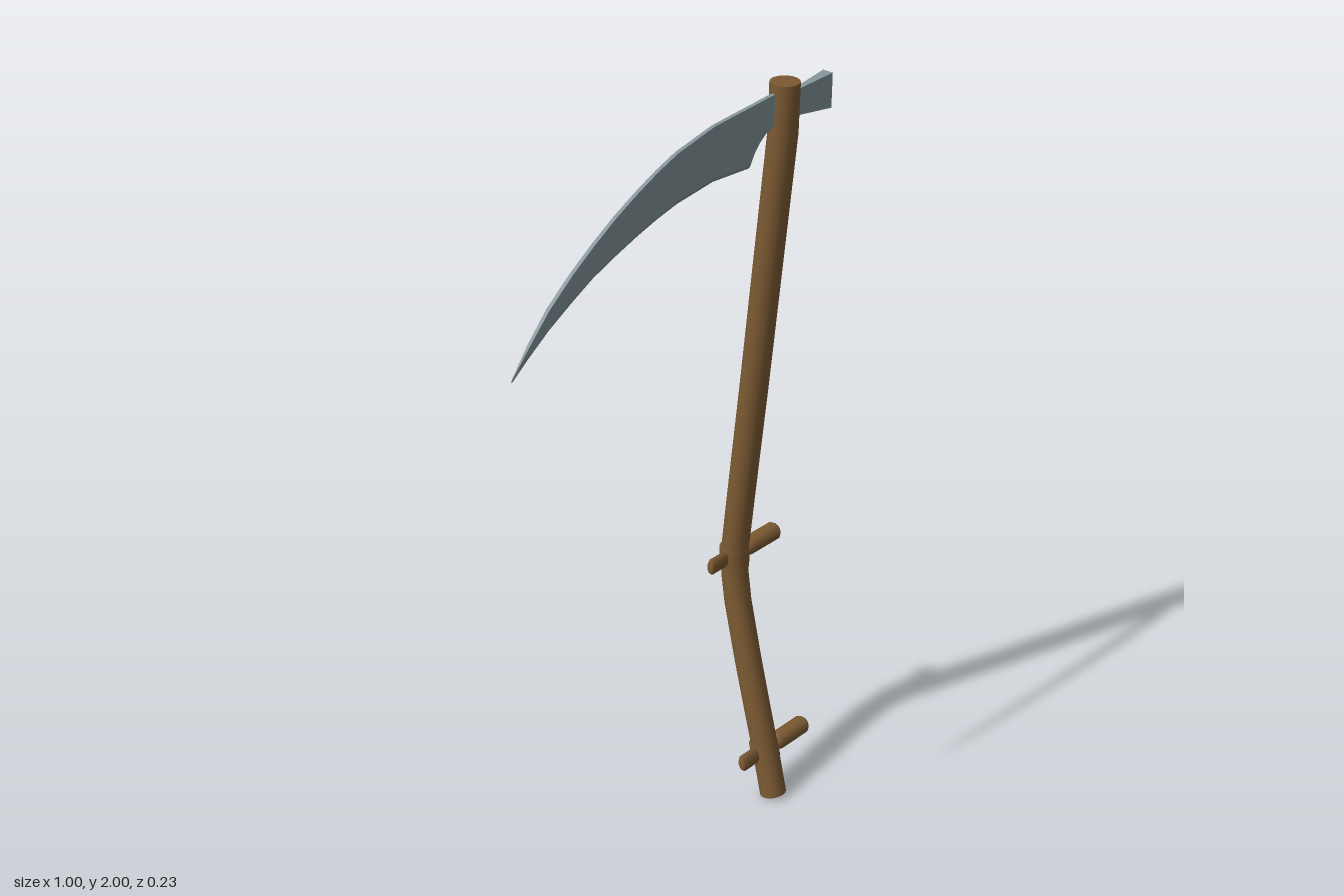
import * as THREE from 'three';

const X = 0.344; // shaft offset from the centre
const Z = 0.043; // plane of the blade

// Closed, flat-shaded hull through cross-sections with equal point counts
function loft(sections) {
  const pos = [];
  const n = sections[0].length;
  const tri = (a, b, c) => pos.push(...a, ...b, ...c);
  for (let i = 0; i < sections.length - 1; i++) {
    for (let j = 0; j < n; j++) {
      const k = (j + 1) % n;
      const [a, b, c, d] = [sections[i][j], sections[i][k], sections[i + 1][k], sections[i + 1][j]];
      tri(a, c, b);
      tri(a, d, c);
    }
  }
  const first = sections[0], last = sections[sections.length - 1];
  for (let j = 1; j < n - 1; j++) {
    tri(first[0], first[j], first[j + 1]);
    tri(last[0], last[j + 1], last[j]);
  }
  const g = new THREE.BufferGeometry();
  g.setAttribute('position', new THREE.Float32BufferAttribute(pos, 3));
  g.computeVertexNormals();
  return g;
}

// Round pole whose rings follow a bent [y, z] centre line
function bentPole(path, radius) {
  const n = path.length - 1;
  const g = new THREE.CylinderGeometry(radius, radius, n, 18, n);
  const p = g.attributes.position, nor = g.attributes.normal;
  const axis = new THREE.Vector3(1, 0, 0), v = new THREE.Vector3();
  for (let i = 0; i < p.count; i++) {
    const k = Math.round(p.getY(i) + n / 2);
    const a = path[Math.max(k - 1, 0)], b = path[Math.min(k + 1, n)];
    const tilt = k === n ? 0 : Math.atan2(b[1] - a[1], b[0] - a[0]);
    v.set(p.getX(i), 0, p.getZ(i)).applyAxisAngle(axis, tilt);
    p.setXYZ(i, v.x, path[k][0] + v.y, path[k][1] + v.z);
    v.fromBufferAttribute(nor, i).applyAxisAngle(axis, tilt);
    nor.setXYZ(i, v.x, v.y, v.z);
  }
  return g;
}

export function createModel() {
  const group = new THREE.Group();
  const wood = new THREE.MeshStandardMaterial({ color: 0x7c5a33 });
  wood.name = 'brown wood';
  const steel = new THREE.MeshStandardMaterial({ color: 0x84939a });
  steel.name = 'grey steel';

  const add = (name, geometry, material, parent = group) => {
    const mesh = new THREE.Mesh(geometry, material);
    mesh.name = name;
    parent.add(mesh);
    return mesh;
  };

  // Bent shaft
  const path = [
    [0.009, 0.078], [0.14, 0.046], [0.25, 0.016], [0.4, -0.023], [0.56, -0.061],
    [0.64, -0.073], [0.72, -0.074], [0.86, -0.06], [1.2, -0.024], [1.6, 0.016],
    [1.88, 0.044], [2, 0.046],
  ];
  add('shaft', bentPole(path, 0.035), wood).position.x = X;

  // Two handles: collar, long grip on the left, flat peg on the right
  const gripProfile = [[0, 0.02], [0.019, 0.032], [0.025, 0.052], [0.025, 0.148], [0.019, 0.156], [0, 0.156]]
    .map(([r, y]) => new THREE.Vector2(r, y));
  const pegProfile = [[0, 0.02], [0.023, 0.02], [0.023, 0.086], [0.016, 0.093], [0, 0.093]]
    .map(([r, y]) => new THREE.Vector2(r, y));
  for (const [name, y, z, tilt] of [['upperHandle', 0.697, -0.076, 0], ['lowerHandle', 0.135, 0.044, -0.26]]) {
    const handle = new THREE.Group();
    handle.name = name;
    handle.position.set(X, y, z);
    handle.rotation.x = tilt;
    group.add(handle);
    add('collar', new THREE.CylinderGeometry(0.038, 0.038, 0.048, 18), wood, handle);
    add('grip', new THREE.LatheGeometry(gripProfile, 12).rotateZ(-Math.PI / 2), wood, handle);
    const peg = add('peg', new THREE.LatheGeometry(pegProfile, 12).rotateZ(Math.PI / 2), wood, handle);
    peg.scale.z = 0.5;
  }

  // Blade stations: x, back height, edge height, half thickness
  const stations = [
    [-0.5, 1.58, 1.574, 0.001], [-0.45, 1.641, 1.613, 0.004], [-0.39, 1.706, 1.656, 0.005],
    [-0.32, 1.763, 1.697, 0.005], [-0.257, 1.807, 1.731, 0.005], [-0.19, 1.849, 1.758, 0.005],
    [-0.124, 1.884, 1.782, 0.005], [-0.06, 1.914, 1.802, 0.005], [0, 1.937, 1.817, 0.005],
    [0.114, 1.963, 1.832, 0.005], [0.233, 1.973, 1.826, 0.005], [0.247, 1.974, 1.851, 0.005],
    [0.267, 1.976, 1.875, 0.005], [0.29, 1.978, 1.893, 0.005], [0.312, 1.979, 1.902, 0.005],
    [0.35, 1.974, 1.905, 0.005],
  ];
  add('blade', loft(stations.map(([x, top, edge, h]) => {
    const bevel = edge + Math.min(0.01, (top - edge) * 0.3);
    return [[x, top, Z + h], [x, top, Z - h], [x, bevel, Z - h], [x, edge, Z], [x, bevel, Z + h]];
  })), steel);

  // Wedge-shaped tang on the far side of the shaft
  const tang = [[0.35, 1.972, 1.907, 0.005], [0.39, 1.97, 1.907, 0.006], [0.495, 1.98, 1.896, 0.014]];
  add('tang', loft(tang.map(([x, top, low, h]) =>
    [[x, top, Z + h], [x, top, Z - h], [x, low, Z - h], [x, low, Z + h]])), steel);

  return group;
}
